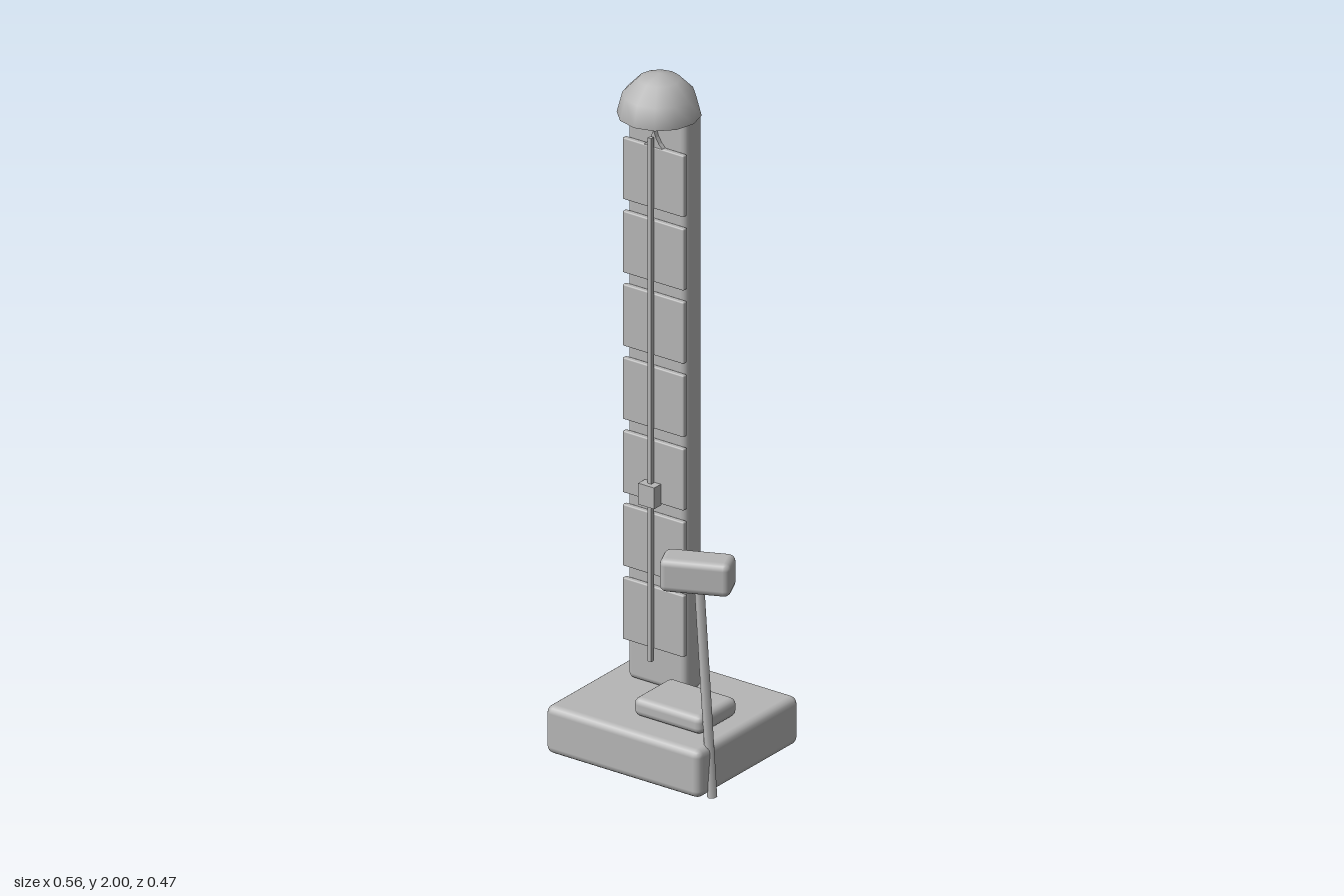
import * as THREE from 'three';
import { RoundedBoxGeometry } from 'three/addons/geometries/RoundedBoxGeometry.js';

export function createModel() {
  const model = new THREE.Group();
  model.name = 'strengthTester';
  const grey = new THREE.MeshStandardMaterial({ color: 0xb6b6b6, side: THREE.DoubleSide });
  grey.name = 'plain grey';

  const add = (name, geometry, x = 0, y = 0, z = 0) => {
    const mesh = new THREE.Mesh(geometry, grey);
    mesh.name = name;
    mesh.position.set(x, y, z);
    model.add(mesh);
    return mesh;
  };
  // Soft-edged box given by its limits on each axis
  const softBox = (name, [x0, x1], [y0, y1], [z0, z1], r) =>
    add(name, new RoundedBoxGeometry(x1 - x0, y1 - y0, z1 - z0, 2, r),
      (x0 + x1) / 2, (y0 + y1) / 2, (z0 + z1) / 2);

  const cx = -0.108; // tower centre line

  // Platform, strike pad and tower
  softBox('base', [-0.284, 0.241], [0.008, 0.152], [-0.234, 0.231], 0.022);
  softBox('strikePad', [-0.05, 0.183], [0.152, 0.208], [-0.03, 0.144], 0.02);
  softBox('tower', [cx - 0.1, cx + 0.1], [0.152, 1.89], [-0.127, -0.047], 0.018);

  // Seven scale panels up the front of the tower
  for (let i = 0; i < 7; i++) {
    add('scalePanel' + (i + 1), new RoundedBoxGeometry(0.208, 0.186, 0.017, 1, 0.004),
      cx, 0.367 + i * 0.2213, -0.0395);
  }

  // Pointed crest above the top panel
  const crest = new THREE.Shape();
  crest.moveTo(-0.045, 1.78);
  crest.quadraticCurveTo(-0.015, 1.79, 0, 1.838);
  crest.quadraticCurveTo(0.015, 1.79, 0.045, 1.78);
  crest.closePath();
  add('crest', new THREE.ExtrudeGeometry(crest, { depth: 0.014, bevelEnabled: false, curveSegments: 4 }),
    cx, 0, -0.047);

  // Guide rail and sliding weight
  add('guideRail', new THREE.BoxGeometry(0.012, 1.58, 0.012), cx, 1.03, -0.021);
  add('slidingWeight', new THREE.BoxGeometry(0.054, 0.064, 0.034), cx, 0.745, -0.017);

  // Hollow faceted dome cap
  const dome = add('domeCap',
    new THREE.SphereGeometry(0.117, 12, 3, 0, Math.PI * 2, 0, Math.PI / 2), cx, 1.878, -0.06);
  dome.scale.y = 0.122 / 0.117;

  // Mallet leaning against the base
  const head = add('malletHead', new RoundedBoxGeometry(0.2, 0.1, 0.094, 2, 0.02), 0.173, 0.646, 0.145);
  head.rotation.y = 0.42;
  const foot = new THREE.Vector3(0.246, 0.001, 0.177);
  const top = new THREE.Vector3(0.178, 0.64, 0.147);
  const dir = top.clone().sub(foot);
  const handle = add('malletHandle', new THREE.CylinderGeometry(0.014, 0.014, dir.length(), 6));
  handle.position.copy(foot).addScaledVector(dir, 0.5);
  handle.quaternion.setFromUnitVectors(new THREE.Vector3(0, 1, 0), dir.normalize());

  return model;
}
